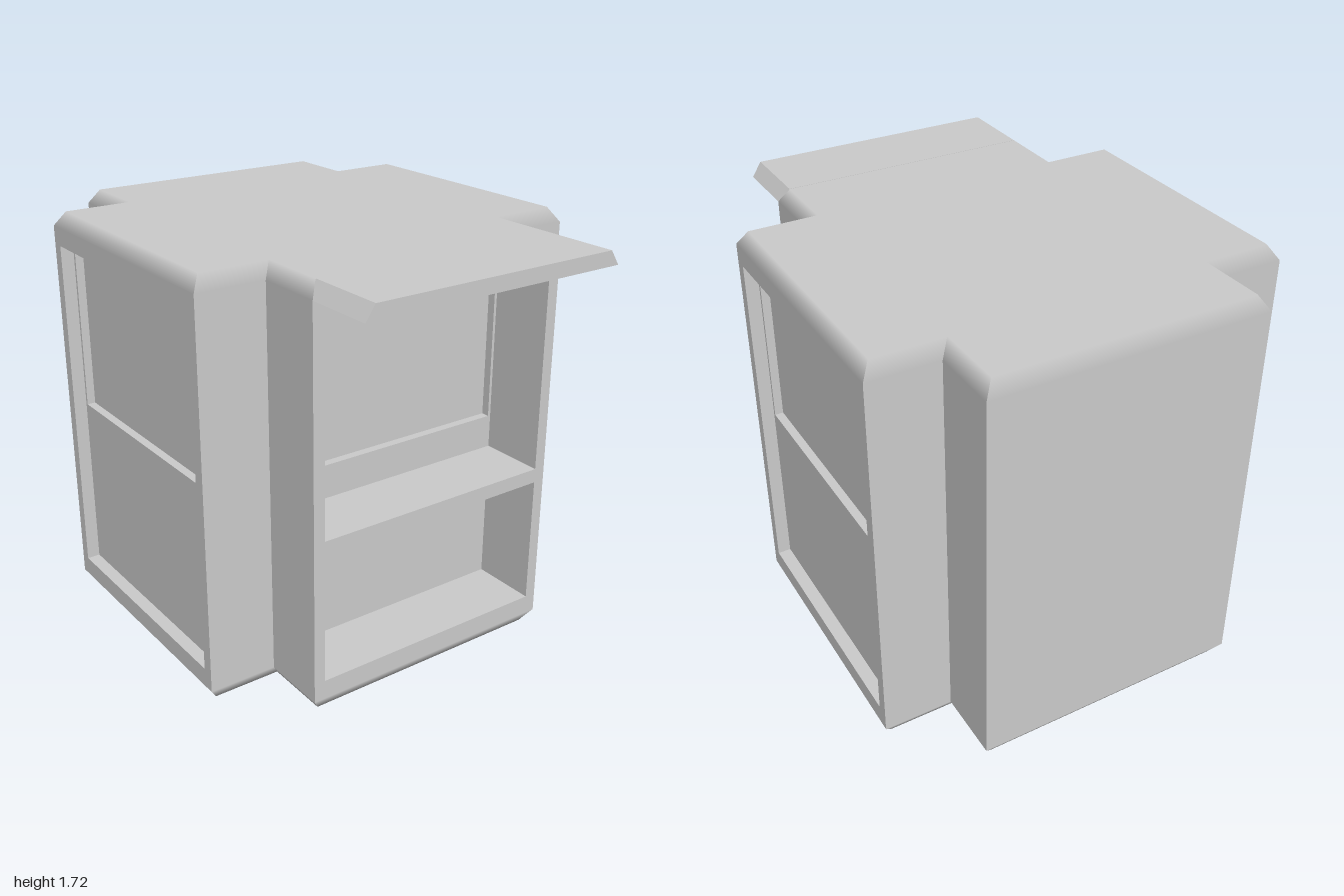
import * as THREE from 'three';
import { mergeGeometries } from 'three/addons/utils/BufferGeometryUtils.js';

const material = new THREE.MeshStandardMaterial({ color: 0xcccccc });
const H = 1.715;        // total height
const A = 0.855;        // centre to end of each arm
const B = 0.57;         // half width of each arm
const INSET = 0.04;     // chamfer, horizontal
const RISE = 0.06;      // chamfer, vertical

function mesh(name, geometry) {
  const m = new THREE.Mesh(geometry, material);
  m.name = name;
  return m;
}

// Four corners counter-clockwise, with optional normals for a soft chamfer
function quad(p, normals) {
  const g = new THREE.BufferGeometry();
  const order = [0, 1, 2, 0, 2, 3];
  g.setAttribute('position', new THREE.Float32BufferAttribute(order.flatMap(i => p[i]), 3));
  if (normals) g.setAttribute('normal', new THREE.Float32BufferAttribute(order.flatMap(i => normals[i]), 3));
  else g.computeVertexNormals();
  return g;
}

function flat(shape) {
  const g = new THREE.ShapeGeometry(shape).toNonIndexed();
  g.deleteAttribute('uv');
  return g;
}

const polygon = pts => pts.map(([x, y]) => new THREE.Vector2(x, y));
const rect = (half, y0, y1) => [[-half, y0], [half, y0], [half, y1], [-half, y1]];

// Cross-plan shell with chamfered top and bottom; the arm ends in `open` get no wall
function shell(open) {
  const plan = [[B, A], [B, B], [A, B], [A, -B], [B, -B], [B, -A],
    [-B, -A], [-B, -B], [-A, -B], [-A, B], [-B, B], [-B, A]];
  const n = plan.length;
  const normals = plan.map(([x, z], i) => {
    const [x2, z2] = plan[(i + 1) % n];
    const len = Math.hypot(x2 - x, z2 - z);
    return [-(z2 - z) / len, 0, (x2 - x) / len];
  });
  const inner = plan.map(([x, z], i) => {
    const a = normals[(i + n - 1) % n], b = normals[i];
    return [x - INSET * (a[0] + b[0]), z - INSET * (a[2] + b[2])];
  });
  const at = ([x, z], y) => [x, y, z];
  const up = [0, 1, 0], down = [0, -1, 0];
  const parts = [];
  for (let i = 0; i < n; i++) {
    const j = (i + 1) % n, m = normals[i];
    const p = plan[i], q = plan[j], pi = inner[i], qi = inner[j];
    if (!open.includes(i)) parts.push(quad([at(p, RISE), at(q, RISE), at(q, H - RISE), at(p, H - RISE)]));
    parts.push(quad([at(p, H - RISE), at(q, H - RISE), at(qi, H), at(pi, H)], [m, m, up, up]));
    parts.push(quad([at(pi, 0), at(qi, 0), at(q, RISE), at(p, RISE)], [down, down, m, m]));
  }
  const cap = new THREE.Shape(polygon(inner));
  parts.push(flat(cap).rotateX(-Math.PI / 2).translate(0, H, 0));
  parts.push(flat(cap).rotateX(Math.PI / 2));
  return mergeGeometries(parts);
}

// Nested rectangles, each stepping back by the matching depth
function steppedRecess(rects, depths) {
  const parts = [];
  let z = 0;
  rects.forEach((r, k) => {
    const shape = new THREE.Shape(polygon(r));
    const hole = rects[k + 1];
    if (hole) shape.holes.push(new THREE.Path(polygon(hole)));
    parts.push(flat(shape).translate(0, 0, z));
    if (!hole) return;
    const back = z - depths[k];
    hole.forEach((p, i) => {
      const q = hole[(i + 1) % 4];
      parts.push(quad([[...p, z], [...q, z], [...q, back], [...p, back]]));
    });
    z = back;
  });
  return mergeGeometries(parts);
}

export function createModel() {
  const group = new THREE.Group();
  const booth = new THREE.Group();
  booth.name = 'booth';
  booth.position.z = -0.1425;
  group.add(booth);

  // Body, open at the left, right and front arm ends
  booth.add(mesh('body', shell([2, 8, 11])));

  // Deep serving hatch in front, shallow windows on both sides
  const frames = [rect(B, RISE, H - RISE), rect(0.522, 0.14, 1.58), rect(0.51, 0.88, 1.56)];
  const faces = [['servingHatch', 0, 0.28], ['leftWindow', Math.PI / 2, 0.055], ['rightWindow', -Math.PI / 2, 0.055]];
  for (const [name, angle, depth] of faces) {
    const face = mesh(name, steppedRecess(frames, [depth, 0.035]));
    face.position.set(A * Math.sin(angle), 0, A * Math.cos(angle));
    face.rotation.y = angle;
    booth.add(face);
  }

  // Counter across the hatch
  const counter = mesh('counter', new THREE.BoxGeometry(1.044, 0.06, 0.28));
  counter.position.set(0, 0.71, A - 0.14);
  booth.add(counter);

  // Canopy continuing the roof forward, with sloped sides
  const section = new THREE.Shape(polygon([[-B, H - RISE], [B, H - RISE], [B - INSET, H], [INSET - B, H]]));
  const canopy = mesh('canopy', new THREE.ExtrudeGeometry(section, { depth: 0.325, bevelEnabled: false }));
  canopy.position.z = 0.675;
  group.add(canopy);

  return group;
}
